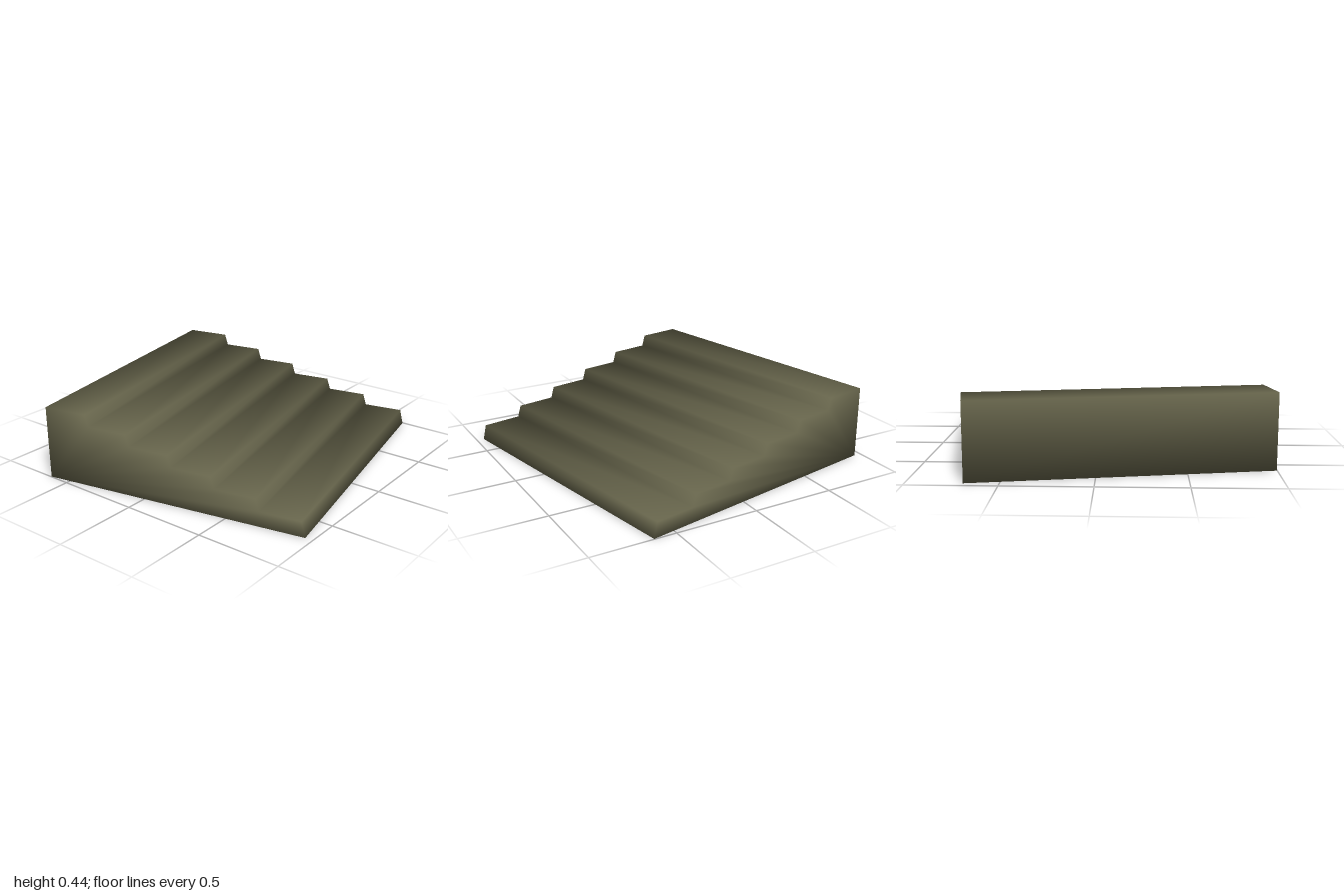
import * as THREE from 'three';

const HALF_WIDTH = 0.86;
const HALF_DEPTH = 0.8075;

// Side outline as [z, y]: from the front foot up the six steps and down the back
function stairOutline() {
  const points = [];
  const steps = 6;
  for (let i = 0; i < steps; i++) {
    const z = HALF_DEPTH - i * 0.265;
    const bottom = i === 0 ? 0 : 0.09 + (i - 1) * 0.07;
    const top = 0.09 + i * 0.07;
    points.push([z, bottom], [z - 0.022, top]); // slightly leaning riser
  }
  points.push([-HALF_DEPTH, 0.44], [-HALF_DEPTH, 0]);
  return points;
}

// Closed stair block with shared corners and softly blended normals
function stairGeometry() {
  const outline = stairOutline();
  const n = outline.length;
  const positions = [], normals = [], index = [];
  const direction = (a, b) => new THREE.Vector2(b[0] - a[0], b[1] - a[1]).normalize();

  outline.forEach((p, i) => {
    const before = direction(outline[(i + n - 1) % n], p);
    const after = direction(p, outline[(i + 1) % n]);
    // Each adjoining face counts by its angle at the corner
    const corner = Math.PI - Math.atan2(before.cross(after), before.dot(after));
    for (const side of [-1, 1]) {
      const normal = new THREE.Vector3(
        side * corner,
        -(before.x + after.x) * Math.PI / 2,
        (before.y + after.y) * Math.PI / 2
      ).normalize();
      positions.push(side * HALF_WIDTH, p[1], p[0]);
      normals.push(normal.x, normal.y, normal.z);
    }
  });

  const left = i => (i % n) * 2;
  const right = i => (i % n) * 2 + 1;
  // Risers, treads, back and underside
  for (let i = 0; i < n; i++) {
    index.push(left(i), right(i), right(i + 1), left(i), right(i + 1), left(i + 1));
  }
  // End walls fan out from the lower back corner
  for (let i = 0; i < n - 2; i++) {
    index.push(left(n - 1), left(i), left(i + 1));
    index.push(right(n - 1), right(i + 1), right(i));
  }

  const geometry = new THREE.BufferGeometry();
  geometry.setAttribute('position', new THREE.Float32BufferAttribute(positions, 3));
  geometry.setAttribute('normal', new THREE.Float32BufferAttribute(normals, 3));
  geometry.setIndex(index);
  return geometry;
}

export function createModel() {
  const model = new THREE.Group();
  model.name = 'staircase';

  const stone = new THREE.MeshStandardMaterial({ color: 0x66644b });
  stone.name = 'olive stone';

  const stairs = new THREE.Mesh(stairGeometry(), stone);
  stairs.name = 'steps';
  stairs.rotation.y = Math.atan2(0.325, 1.69); // set at a slight angle
  model.add(stairs);
  return model;
}
